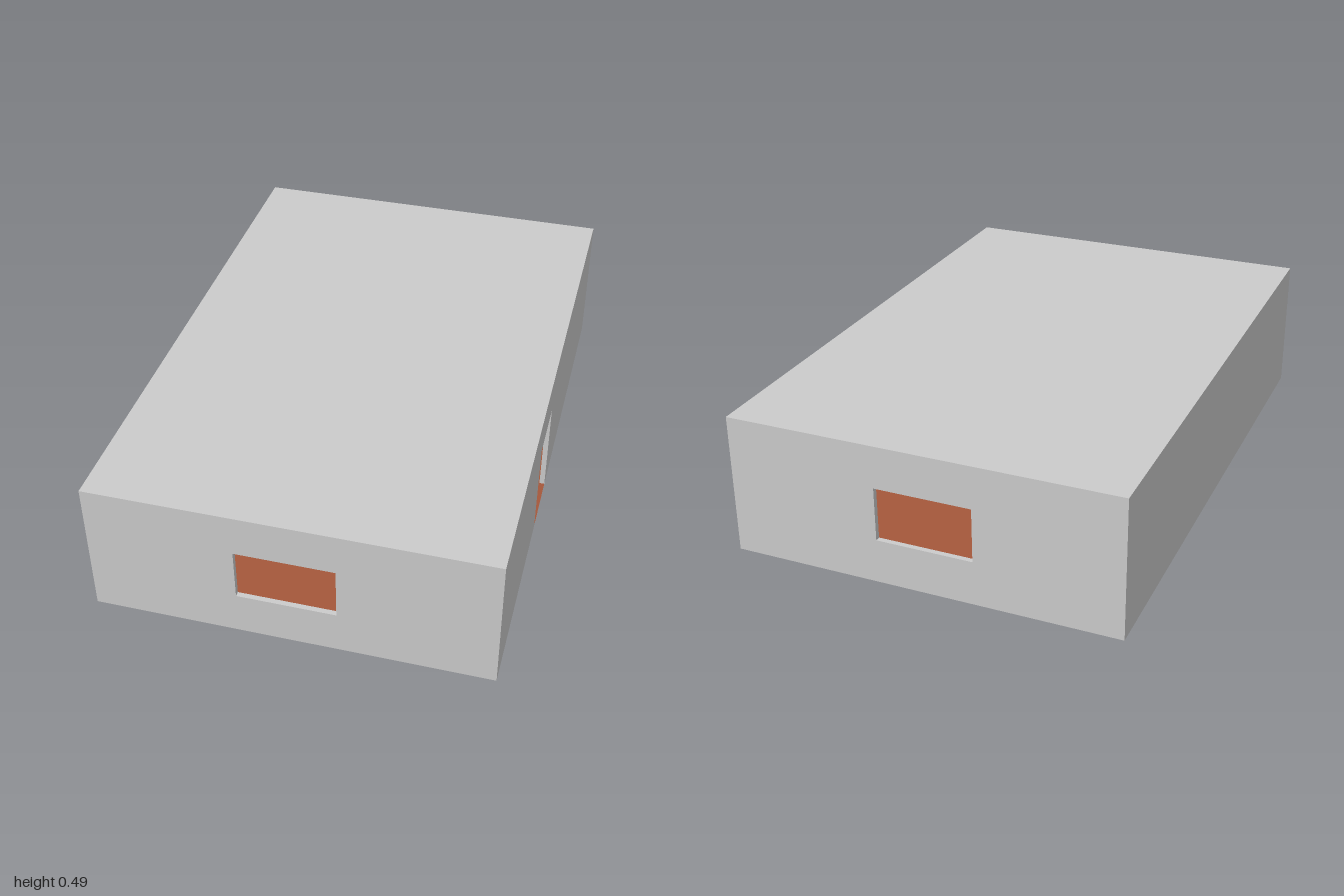
import * as THREE from 'three';

const W = 1.35, D = 2, H = 0.49, T = 0.018; // outer size and wall thickness
const material = (color) => new THREE.MeshStandardMaterial({ color, side: THREE.DoubleSide });
const grey = material(0xcccccc), cream = material(0xe6d3a5), brown = material(0xa5583b);

// openings in wall coordinates: x range, y range
const WINDOW = { x0: -0.178, x1: 0.155, y0: 0.155, y1: 0.342 };
const DOOR = { x0: -0.265, x1: -0.035, y0: 0, y1: 0.345 };

function add(parent, name, geometry, mat) {
  const mesh = new THREE.Mesh(geometry, mat);
  mesh.name = name;
  parent.add(mesh);
  return mesh;
}

const rectangle = (x0, x1, y0, y1) => [[x0, y0], [x1, y0], [x1, y1], [x0, y1]].map(([x, y]) => new THREE.Vector2(x, y));

// flat wall sheet with an optional window hole or door notch
function sheet(length, height, open) {
  const h = length / 2;
  const points = rectangle(-h, h, 0, height);
  if (open && open.y0 === 0) points.splice(1, 0, ...rectangle(open.x0, open.x1, 0, open.y1).filter((p, i) => i !== 1 && i !== 2),
    new THREE.Vector2(open.x1, open.y1), new THREE.Vector2(open.x1, 0));
  const shape = new THREE.Shape(points);
  if (open && open.y0 > 0) shape.holes.push(new THREE.Path(rectangle(open.x0, open.x1, open.y0, open.y1)));
  return new THREE.ShapeGeometry(shape);
}

// boards lining an opening through the wall cavity
function reveal(parent, { x0, x1, y0, y1 }) {
  const w = x1 - x0, h = y1 - y0;
  for (const [name, x] of [['jambA', x0], ['jambB', x1]])
    add(parent, name, new THREE.PlaneGeometry(T, h).rotateY(Math.PI / 2).translate(x, (y0 + y1) / 2, -T / 2), grey);
  for (const [name, y] of [['lintel', y1], ['sill', y0]])
    add(parent, name, new THREE.PlaneGeometry(w, T).rotateX(-Math.PI / 2).translate((x0 + x1) / 2, y, -T / 2), y === 0 ? brown : grey);
}

// double-skinned wall: grey outside, cream inside, facing local +z
function wall(name, length, distance, angle, open) {
  const group = new THREE.Group();
  group.name = name;
  add(group, name + 'Outside', sheet(length, H, open), grey);
  add(group, name + 'Inside', sheet(length - 2 * T, H - T, open), cream).position.z = -T;
  if (open) reveal(group, open);
  group.rotation.y = angle;
  group.position.set(Math.sin(angle) * distance, 0, Math.cos(angle) * distance);
  return group;
}

export function createModel() {
  const house = new THREE.Group();
  house.name = 'house';

  // the back window is mirrored so it lines up with the front one
  const backWindow = { ...WINDOW, x0: -WINDOW.x1, x1: -WINDOW.x0 };
  house.add(
    wall('frontWall', W, D / 2, 0, WINDOW),
    wall('backWall', W, D / 2, Math.PI, backWindow),
    wall('doorWall', D, W / 2, Math.PI / 2, DOOR),
    wall('plainWall', D, W / 2, -Math.PI / 2, null),
  );

  // roof, ceiling and floor
  const slab = (inset) => new THREE.PlaneGeometry(W - 2 * inset, D - 2 * inset).rotateX(-Math.PI / 2);
  add(house, 'roof', slab(0), grey).position.y = H;
  add(house, 'ceiling', slab(T), cream).position.y = H - T;
  add(house, 'floor', slab(T), brown);
  return house;
}
